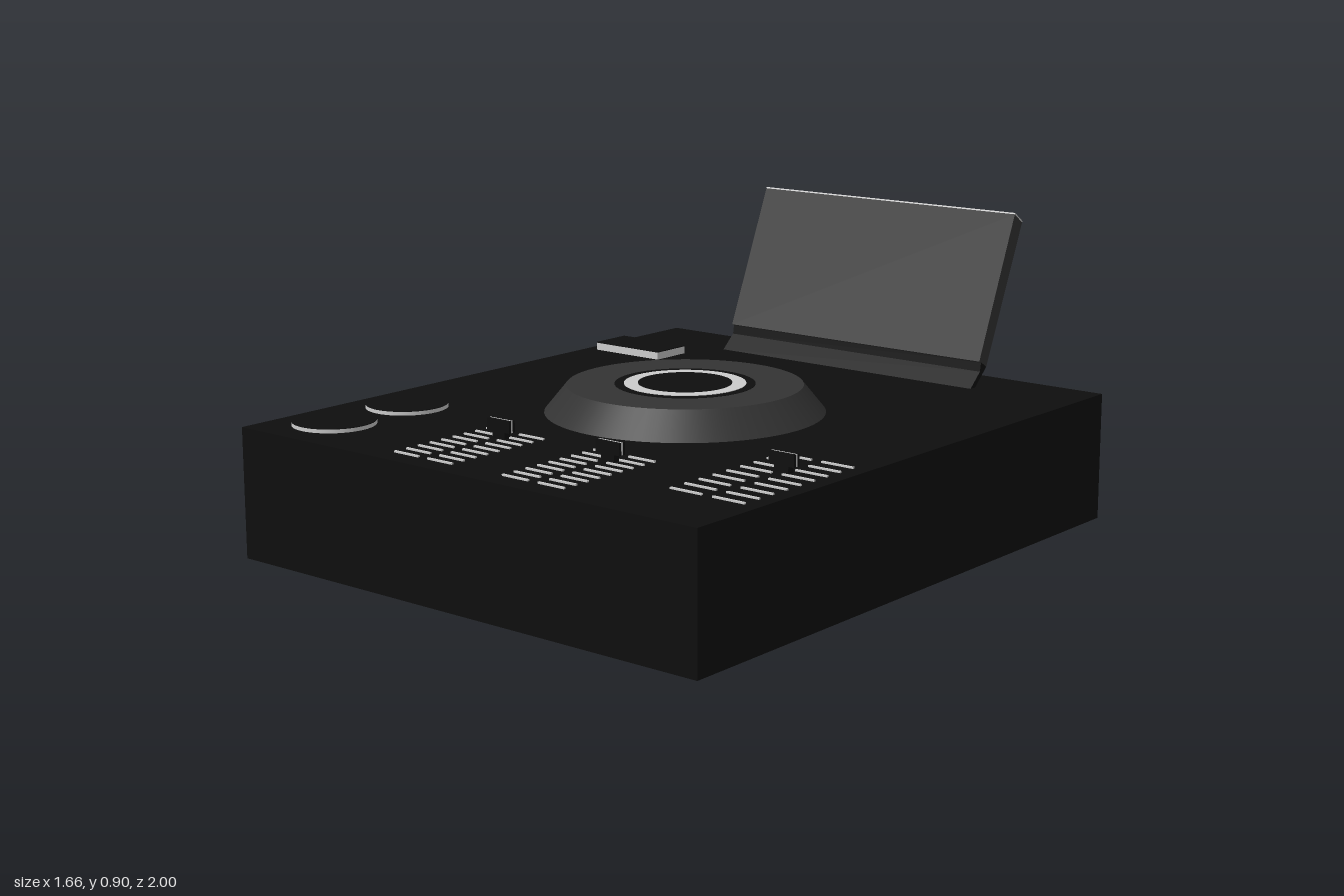
import * as THREE from 'three';

const mat = (color) => new THREE.MeshStandardMaterial({ color });
const black = mat(0x0e0e0e);
const dark = mat(0x333333);
const grey = mat(0xcccccc);
const TOP = 0.385; // height of the deck surface

function add(parent, name, geometry, material, x = 0, y = 0, z = 0) {
  const mesh = new THREE.Mesh(geometry, material);
  mesh.name = name;
  mesh.position.set(x, y, z);
  parent.add(mesh);
  return mesh;
}

const box = (w, h, d) => new THREE.BoxGeometry(w, h, d);

// Prism along x from a side profile of [z, y] points
function sidePrism(points, x0, x1) {
  const shape = new THREE.Shape(points.map(([z, y]) => new THREE.Vector2(-z, y)));
  const geometry = new THREE.ExtrudeGeometry(shape, { depth: x1 - x0, bevelEnabled: false });
  return geometry.rotateY(Math.PI / 2).translate(x0, 0, 0);
}

// Fader with two columns of scale marks and a sliding cap
function makeFader(name, x, zStart, step, markWidth, markOffset, capZ) {
  const fader = new THREE.Group();
  fader.name = name;
  for (let i = 0; i < 9; i++) {
    for (const side of [-1, 1]) {
      add(fader, 'scaleMark', box(markWidth, 0.005, 0.007), grey,
        x + side * markOffset, TOP + 0.0025, zStart + i * step);
    }
  }
  add(fader, 'faderStem', box(0.046, 0.022, 0.022), black, x, TOP + 0.011, capZ);
  for (const side of [-1, 1]) {
    add(fader, 'faderCapHalf', box(0.084, 0.035, 0.008), black, x, 0.4225, capZ + side * 0.0075);
  }
  add(fader, 'faderCapLine', box(0.083, 0.034, 0.007), grey, x, 0.4225, capZ);
  return fader;
}

export function createModel() {
  const model = new THREE.Group();
  model.name = 'turntableController';

  add(model, 'body', box(1.66, TOP, 1.92), black, 0, TOP / 2, 0.04);

  // Jog wheel: bevelled platter with flat rings on top
  const jog = new THREE.Group();
  jog.name = 'jogWheel';
  jog.position.set(0, TOP, 0.04);
  add(jog, 'platter', new THREE.CylinderGeometry(0.345, 0.41, 0.08, 64), dark, 0, 0.04, 0);
  const discs = [['outerDisc', 0.205, black], ['lightRing', 0.178, grey], ['centreDisc', 0.137, black]];
  discs.forEach(([name, r, material], i) => {
    add(jog, name, new THREE.CylinderGeometry(r, r, 0.002, 64), material, 0, 0.08 + i * 0.0015, 0);
  });
  model.add(jog);

  // Tilted display on a short hinge strip
  const display = new THREE.Group();
  display.name = 'display';
  add(display, 'screen', sidePrism(
    [[-0.775, 0.462], [-0.955, 0.893], [-0.998, 0.863], [-0.815, 0.44]], -0.472, 0.486), dark);
  add(display, 'screenTopEdge', sidePrism(
    [[-0.955, 0.893], [-0.957, 0.897], [-1, 0.867], [-0.998, 0.863]], -0.472, 0.486), grey);
  add(display, 'screenHinge', sidePrism(
    [[-0.73, TOP], [-0.78, 0.43], [-0.785, 0.458], [-0.815, 0.44], [-0.755, TOP]], -0.472, 0.486), black);
  model.add(display);

  // Rectangular pad with light sides and dark top
  add(model, 'padBase', box(0.26, 0.023, 0.136), grey, -0.66, TOP + 0.0115, -0.532);
  add(model, 'padTop', box(0.26, 0.003, 0.136), black, -0.66, TOP + 0.0245, -0.532);

  // Two round buttons
  for (const z of [0.52, 0.805]) {
    add(model, 'buttonRim', new THREE.CylinderGeometry(0.121, 0.121, 0.011, 48), grey, -0.66, TOP + 0.0055, z);
    add(model, 'buttonTop', new THREE.CylinderGeometry(0.121, 0.121, 0.002, 48), black, -0.66, TOP + 0.012, z);
  }

  // Two channel faders and the longer pitch fader
  model.add(makeFader('channelFaderRight', -0.172, 0.576, 0.0444, 0.092, 0.063, 0.632));
  model.add(makeFader('channelFaderLeft', 0.23, 0.576, 0.0444, 0.092, 0.063, 0.632));
  model.add(makeFader('pitchFader', 0.664, 0.295, 0.0577, 0.104, 0.069, 0.44));

  return model;
}
